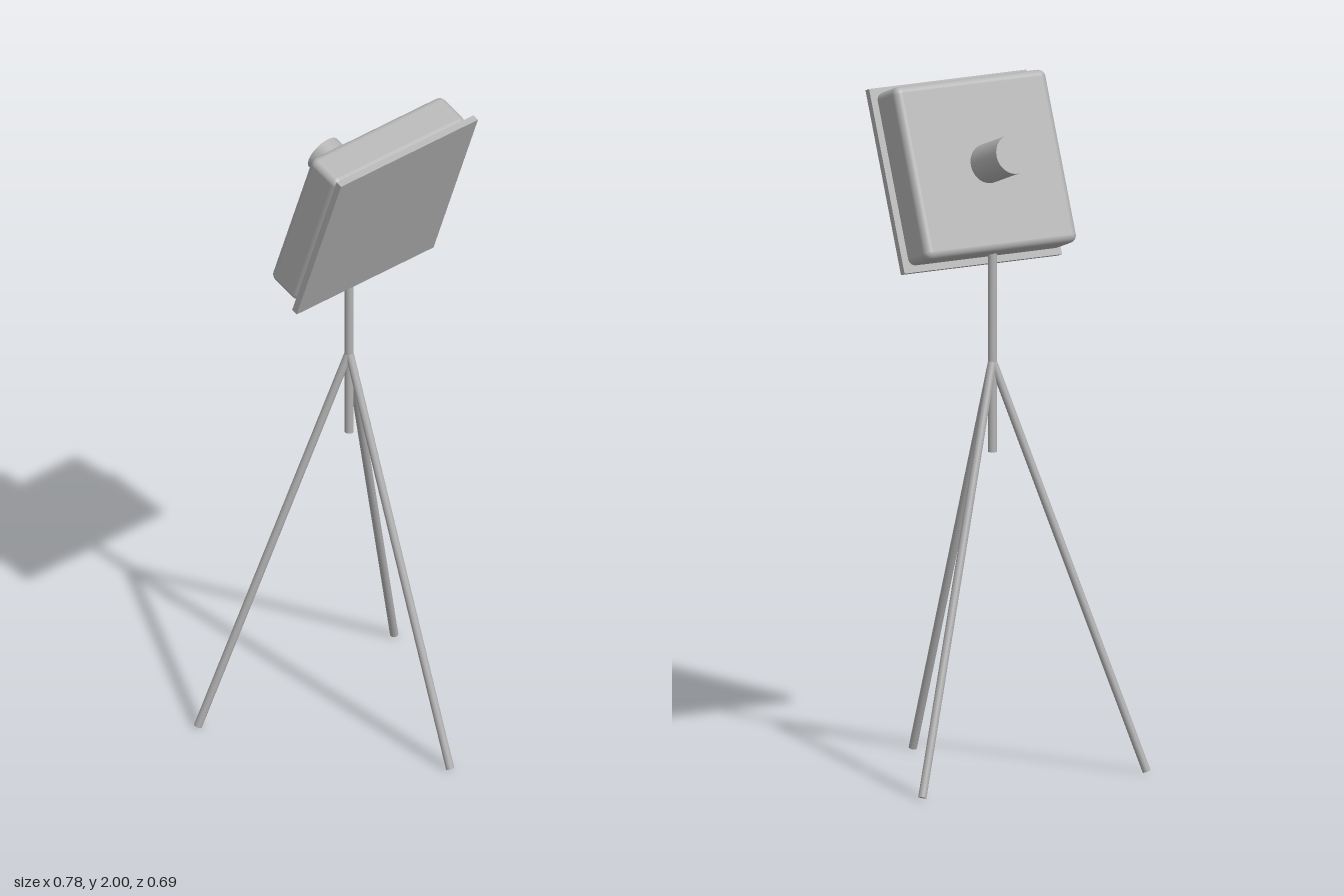
import * as THREE from 'three';
import { RoundedBoxGeometry } from 'three/addons/geometries/RoundedBoxGeometry.js';

export function createModel() {
  const model = new THREE.Group();
  model.name = 'panelOnTripod';
  const grey = new THREE.MeshStandardMaterial({ color: 0xb2b2b2 });
  grey.name = 'grey';

  const add = (parent, name, geometry, x = 0, y = 0, z = 0) => {
    const mesh = new THREE.Mesh(geometry, grey);
    mesh.name = name;
    mesh.position.set(x, y, z);
    parent.add(mesh);
    return mesh;
  };

  // Round rod between two points
  const rod = (name, from, to, radius) => {
    const axis = to.clone().sub(from);
    const mesh = add(model, name, new THREE.CylinderGeometry(radius, radius, axis.length(), 24));
    mesh.position.copy(from).addScaledVector(axis, 0.5);
    mesh.quaternion.setFromUnitVectors(new THREE.Vector3(0, 1, 0), axis.normalize());
  };

  // Tilted head: housing, front plate and rear knob
  const head = new THREE.Group();
  head.name = 'head';
  head.position.set(-0.006, 1.748, -0.0185);
  head.rotation.x = THREE.MathUtils.degToRad(20);
  model.add(head);
  add(head, 'housing', new RoundedBoxGeometry(0.518, 0.506, 0.12, 4, 0.022));
  add(head, 'frontPlate', new THREE.BoxGeometry(0.538, 0.54, 0.02), 0, 0, 0.072);
  const knob = add(head, 'rearKnob', new THREE.CylinderGeometry(0.057, 0.057, 0.147, 32), 0, 0, -0.1285);
  knob.rotation.x = Math.PI / 2;

  // Centre pole
  const hub = new THREE.Vector3(-0.006, 1.2, -0.1);
  rod('centrePole', new THREE.Vector3(hub.x, 0.935, hub.z), new THREE.Vector3(hub.x, 1.53, hub.z), 0.013);

  // Three splayed legs
  const feet = { frontLeg: [-0.017, 0.331], leftLeg: [0.376, -0.317], rightLeg: [-0.379, -0.334] };
  for (const [name, [x, z]] of Object.entries(feet)) {
    rod(name, hub, new THREE.Vector3(x, 0.004, z), 0.012);
  }
  return model;
}
